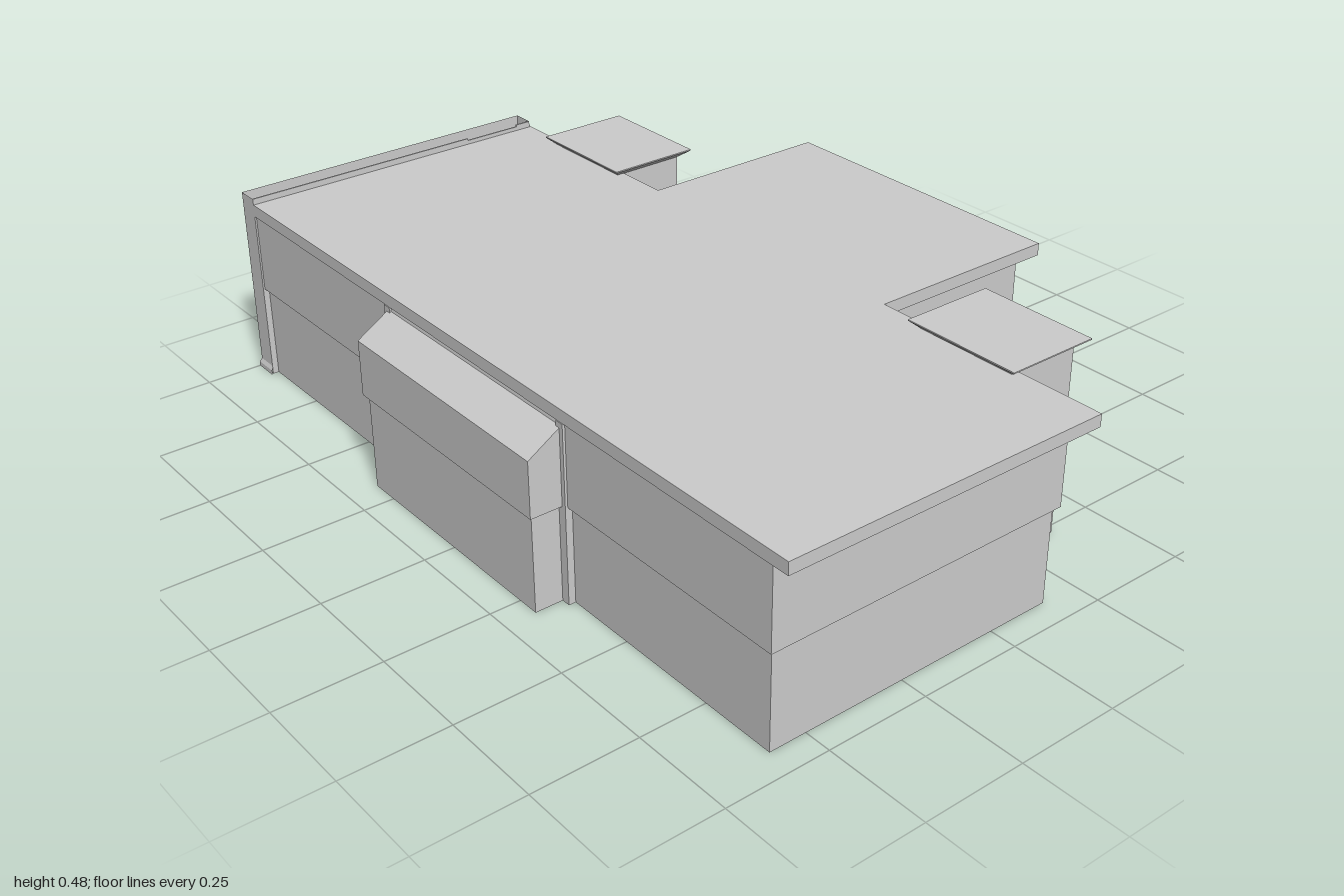
import * as THREE from 'three';

const stone = new THREE.MeshStandardMaterial({ color: 0xcccccc, side: THREE.DoubleSide });
stone.name = 'paleGrey';

// Skin between rings of [x, y, z] points; rings run anticlockwise seen from above
function loft(rings, closed = true) {
  const pos = [];
  for (let r = 0; r < rings.length - 1; r++) {
    const lo = rings[r], hi = rings[r + 1], n = lo.length;
    for (let i = 0; i < (closed ? n : n - 1); i++) {
      const j = (i + 1) % n;
      pos.push(...lo[i], ...lo[j], ...hi[j], ...lo[i], ...hi[j], ...hi[i]);
    }
  }
  const g = new THREE.BufferGeometry();
  g.setAttribute('position', new THREE.Float32BufferAttribute(pos, 3));
  g.computeVertexNormals();
  return g;
}

const rect = (y, hx, hz) => [[-hx, y, hz], [hx, y, hz], [hx, y, -hz], [-hx, y, -hz]];

function add(parent, name, geometry, x = 0, y = 0, z = 0) {
  const m = new THREE.Mesh(geometry, stone);
  m.name = name;
  m.position.set(x, y, z);
  parent.add(m);
  return m;
}

// Wall outline with front bay and rear wing; o pushes the walls outward
const wallRing = (y, o, bayZ) => [
  [-0.945, 0.59 + o], [-0.32 - o, 0.59 + o], [-0.32 - o, bayZ], [0.305 + o, bayZ],
  [0.305 + o, 0.59 + o], [0.935 + o, 0.59 + o], [0.935 + o, -0.155 - o],
  [0.345 + o, -0.155 - o], [0.345 + o, -0.645 - o], [-0.355 - o, -0.645 - o],
  [-0.355 - o, -0.155 - o], [-0.945, -0.155 - o],
].map(([x, z]) => [x, y, z]);

function roofGeometry() {
  const pts = [[-0.95, -0.605], [0.99, -0.605], [0.995, 0.2], [0.39, 0.2],
    [0.39, 0.69], [-0.4, 0.69], [-0.4, 0.2], [-0.95, 0.2]];
  const shape = new THREE.Shape(pts.map(([x, y]) => new THREE.Vector2(x, y)));
  const g = new THREE.ExtrudeGeometry(shape, { depth: 0.03, bevelEnabled: false });
  return g.rotateX(-Math.PI / 2);
}

// Rear tower on two side walls joined by an arch
function tower(name, x) {
  const t = new THREE.Group();
  t.name = name;
  t.position.set(x, 0, -0.275);
  const s = new THREE.Shape();
  s.moveTo(-0.12, 0);
  s.lineTo(-0.085, 0);
  s.lineTo(-0.085, 0.12);
  s.quadraticCurveTo(-0.08, 0.155, -0.05, 0.155);
  s.lineTo(0.05, 0.155);
  s.quadraticCurveTo(0.08, 0.155, 0.085, 0.12);
  s.lineTo(0.085, 0);
  s.lineTo(0.12, 0);
  s.lineTo(0.12, 0.18);
  s.lineTo(-0.12, 0.18);
  s.closePath();
  add(t, 'archedLegs', new THREE.ExtrudeGeometry(s, { depth: 0.19, bevelEnabled: false, curveSegments: 4 }), 0, 0, -0.09);
  add(t, 'towerBody', loft([
    rect(0.175, 0.12, 0.09), rect(0.175, 0.125, 0.096), rect(0.23, 0.125, 0.096),
    rect(0.235, 0.132, 0.101), rect(0.262, 0.132, 0.101), rect(0.268, 0.125, 0.095),
    rect(0.458, 0.125, 0.095),
  ]));
  add(t, 'towerCap', loft([
    rect(0.458, 0.125, 0.095), rect(0.477, 0.15, 0.117), rect(0.48, 0.15, 0.117), rect(0.48, 0, 0),
  ]), 0, 0, -0.003);
  return t;
}

export function createModel() {
  const model = new THREE.Group();
  model.name = 'building';

  // Hollow walls, stepped out at mid height, with the bay's sloping top
  add(model, 'walls', loft([
    wallRing(0, 0, 0.675), wallRing(0.235, 0, 0.675), wallRing(0.235, 0.011, 0.684),
    wallRing(0.37, 0.011, 0.684), wallRing(0.42, 0.011, 0.603), wallRing(0.43, 0.011, 0.601),
  ], false));
  add(model, 'roof', roofGeometry(), 0, 0.43, 0);

  // Slim pilasters either side of the bay
  for (const x of [-0.33, 0.316]) {
    add(model, 'bayPilaster', new THREE.BoxGeometry(0.022, 0.43, 0.02), x, 0.215, 0.597);
  }

  // End wall: an open-topped shell with a flared foot
  const shell = (y, o) => [
    [-0.94 + o, y, -0.195 - o], [-0.995 - o, y, -0.195 - o],
    [-0.995 - o, y, 0.605 + o], [-0.94 + o, y, 0.605 + o],
  ];
  add(model, 'endWall', loft([shell(0, 0.005), shell(0.012, 0.005), shell(0.022, 0), shell(0.475, 0)], false));
  const returnWall = (y, h, z, d) =>
    add(model, 'endWallReturn', new THREE.BoxGeometry(0.004, h, d), -0.942, y + h / 2, z);
  returnWall(0, 0.475, 0.595, 0.02);
  returnWall(0, 0.475, -0.175, 0.04);
  returnWall(0.43, 0.045, 0.3, 0.61);
  returnWall(0.43, 0.04, -0.1, 0.19);

  model.add(tower('rightTower', -0.665), tower('leftTower', 0.65));
  return model;
}
